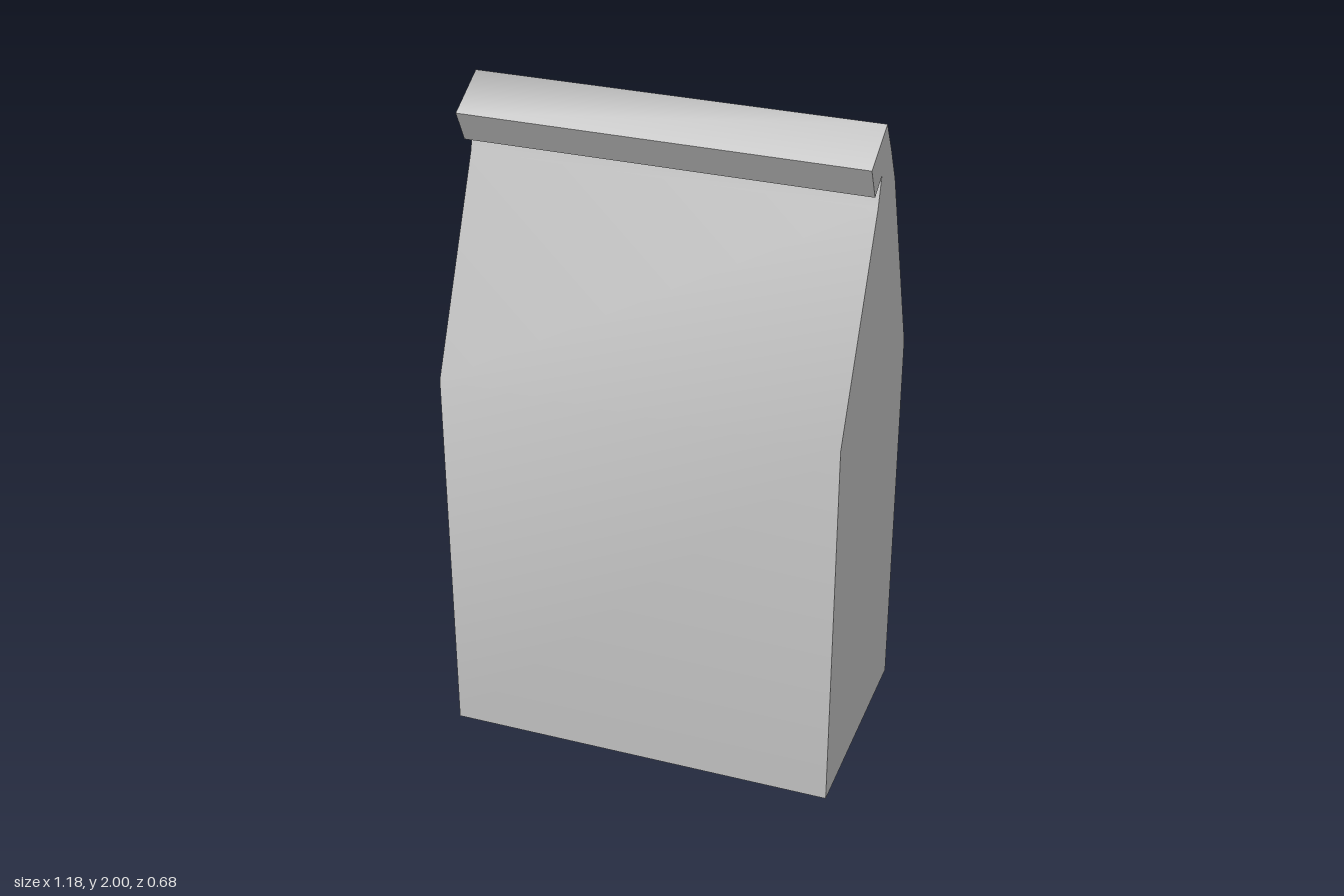
import * as THREE from 'three';
import { toCreasedNormals } from 'three/addons/utils/BufferGeometryUtils.js';

const WIDTH = 1.18;

export function createModel() {
  const model = new THREE.Group();
  model.name = 'paperBag';

  // Side outline as (z, y): front panel, folded-over lip, ridge, back panel
  const outline = [
    [-0.338, 0], [0.338, 0], [0.338, 1.19], [0.058, 1.78],
    [0.033, 1.867], [0.096, 1.83], [0.143, 1.925],
    [0, 2], [-0.058, 1.905], [-0.117, 1.795], [-0.338, 1.19],
  ].map(([z, y]) => new THREE.Vector2(z, y));

  // Extrude across the width, then turn the outline to face sideways
  const solid = new THREE.ExtrudeGeometry(new THREE.Shape(outline), { depth: WIDTH, bevelEnabled: false });
  solid.translate(0, 0, -WIDTH / 2);
  solid.rotateY(-Math.PI / 2);

  // Soft bends over the panels and ridge, sharp right-angled corners
  const bag = new THREE.Mesh(
    toCreasedNormals(solid, 1.53),
    new THREE.MeshStandardMaterial({ color: 0xcccccc }),
  );
  bag.name = 'foldedBag';
  model.add(bag);
  return model;
}
